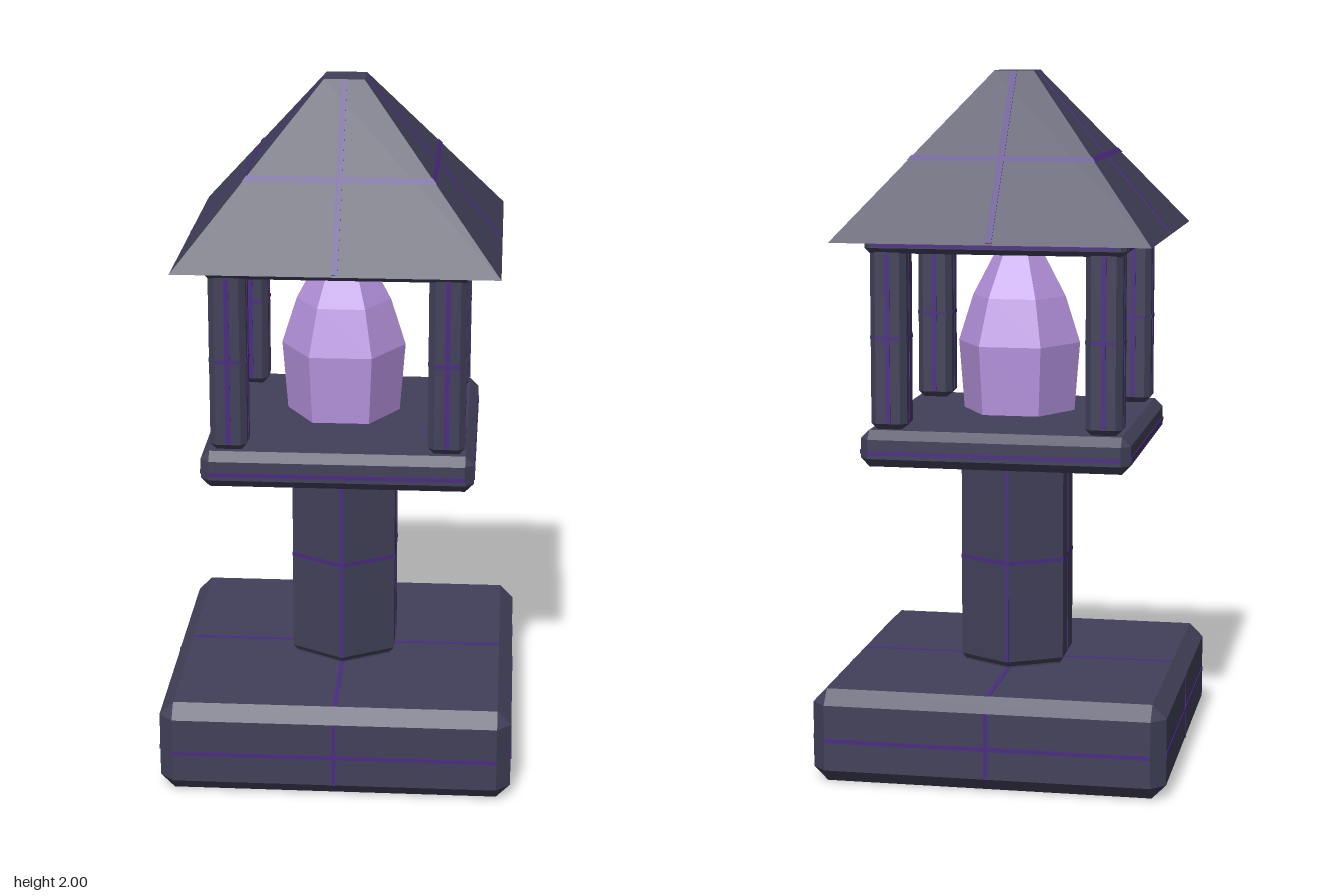
import * as THREE from 'three';
import { ConvexGeometry } from 'three/addons/geometries/ConvexGeometry.js';

const material = (name, color) => {
  const m = new THREE.MeshStandardMaterial({ color });
  m.name = name;
  return m;
};

// Faceted normals for low-poly shapes
const flat = (geometry) => {
  const g = geometry.toNonIndexed();
  g.computeVertexNormals();
  return g;
};

// Box with every edge bevelled by b, standing between y0 and y1
function bevelBox(half, y0, y1, b) {
  const h = (y1 - y0) / 2, pts = [];
  for (const x of [-1, 1]) for (const y of [-1, 1]) for (const z of [-1, 1]) {
    for (const [dx, dy, dz] of [[0, b, b], [b, 0, b], [b, b, 0]]) {
      pts.push(new THREE.Vector3(x * (half - dx), y * (h - dy), z * (half - dz)));
    }
  }
  return new ConvexGeometry(pts).translate(0, (y0 + y1) / 2, 0);
}

// Stacked n-sided rings given as [radius, y]
const rings = (profile, sides, turn = 0) => {
  const pts = profile.map(([r, y]) => new THREE.Vector2(r, y));
  return flat(new THREE.LatheGeometry(pts, sides).rotateY(turn));
};

export function createModel() {
  const model = new THREE.Group();
  model.name = 'stoneLantern';
  const stone = material('dark stone', 0x414059);
  const vein = material('violet vein', 0x4a2b80);
  const crystalMat = material('lilac crystal', 0xb794e0);

  const add = (name, geometry, mat, parent = model) => {
    const mesh = new THREE.Mesh(geometry, mat);
    mesh.name = name;
    parent.add(mesh);
    return mesh;
  };
  // Repeats a thin plate, made for the +z side, on all four sides
  const fourSides = (name, make, parent = model) => {
    for (let i = 0; i < 4; i++) add(name, make().rotateY(i * Math.PI / 2), vein, parent);
  };
  const plate = (w, h, y, z) => () => new THREE.BoxGeometry(w, h, 0.004).translate(0, y, z);

  // Base slab with veins round the sides and across the top
  add('base', bevelBox(0.505, 0, 0.27, 0.04), stone);
  fourSides('baseVein', plate(0.93, 0.012, 0.127, 0.505));
  fourSides('baseVein', plate(0.012, 0.19, 0.135, 0.505));
  for (const [w, d] of [[0.93, 0.012], [0.012, 0.93]]) {
    add('baseTopVein', new THREE.BoxGeometry(w, 0.003, d).translate(0, 0.27, 0), vein);
  }

  // Six-sided column
  add('column', rings([[0, 0.265], [0.162, 0.265], [0.162, 0.275], [0.174, 0.29],
    [0.174, 0.9], [0, 0.9]], 6), stone);
  add('columnVein', rings([[0.176, 0.579], [0.176, 0.591]], 6), vein);
  for (const s of [-1, 1]) {
    add('columnVein', new THREE.BoxGeometry(0.01, 0.6, 0.004).translate(0, 0.59, s * 0.173), vein);
    add('columnVein', new THREE.BoxGeometry(0.004, 0.6, 0.012).translate(s * 0.151, 0.59, 0), vein);
  }

  // Platform
  add('platform', bevelBox(0.385, 0.895, 1.0, 0.025), stone);
  fourSides('platformVein', plate(0.72, 0.012, 0.937, 0.385));

  // Corner posts
  for (const x of [-1, 1]) for (const z of [-1, 1]) {
    const post = new THREE.Group();
    post.name = 'post';
    post.position.set(x * 0.306, 0, z * 0.306);
    add('postBody', bevelBox(0.052, 1.0, 1.52, 0.017), stone, post);
    fourSides('postVein', plate(0.014, 0.48, 1.26, 0.052), post);
    fourSides('postVein', plate(0.068, 0.01, 1.26, 0.052), post);
    model.add(post);
  }

  // Crystal, six-sided with a tapering tip
  const crystal = add('crystal', rings([[0, 1.015], [0.164, 1.015], [0.18, 1.215],
    [0.137, 1.35], [0.058, 1.5], [0, 1.53]], 6, Math.PI / 6), crystalMat);
  crystal.position.x = -0.005;

  // Frame under the roof
  add('roofFrame', bevelBox(0.37, 1.5, 1.545, 0.015), stone);
  fourSides('roofFrameVein', plate(0.68, 0.012, 1.524, 0.37));

  // Roof: truncated pyramid
  const eave = 0.45, cap = 0.057, low = 1.535, high = 2.0;
  const run = eave - cap, rise = high - low, q = Math.SQRT2;
  add('roof', rings([[0, low], [eave * q, low], [cap * q, high], [0, high]], 4, Math.PI / 4), stone);
  const halfAt = (y) => eave - run * (y - low) / rise + 0.003;
  add('roofVein', rings([[halfAt(1.754) * q, 1.754], [halfAt(1.768) * q, 1.768]], 4, Math.PI / 4), vein);
  fourSides('roofVein', () => new THREE.BoxGeometry(0.017, Math.hypot(run, rise) - 0.01, 0.005)
    .rotateX(-Math.atan2(run, rise)).translate(0, (low + high) / 2, (eave + cap) / 2));
  return model;
}
